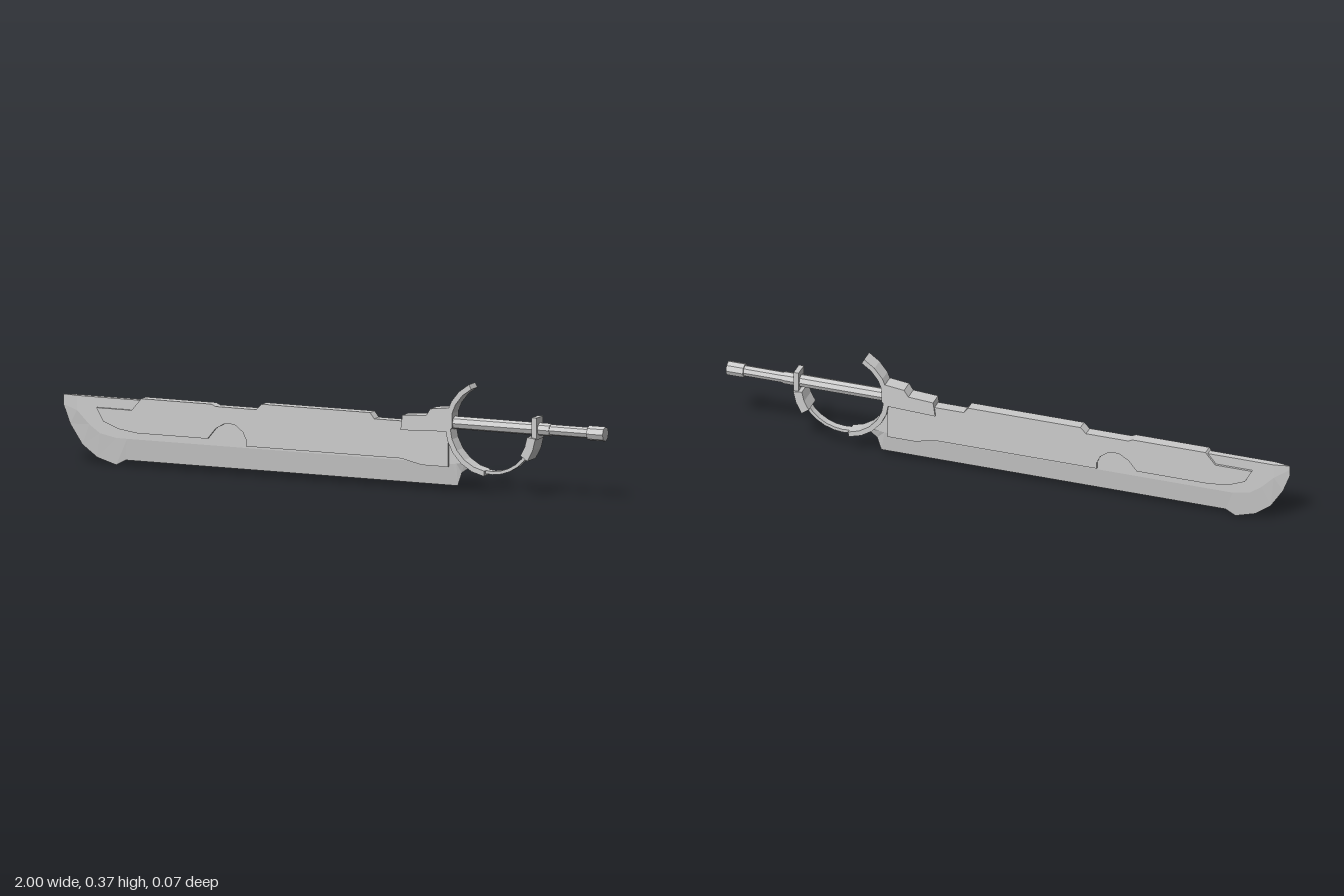
import * as THREE from 'three';

const material = new THREE.MeshStandardMaterial({ color: 0xcccccc, flatShading: true });

function add(group, name, geometry) {
  const mesh = new THREE.Mesh(geometry, material);
  mesh.name = name;
  group.add(mesh);
  return mesh;
}

// Flat outline extruded evenly to both sides of z = 0
function slab(points, half) {
  const shape = new THREE.Shape(points.map(([x, y]) => new THREE.Vector2(x, y)));
  return new THREE.ExtrudeGeometry(shape, { depth: half * 2, bevelEnabled: false }).translate(0, 0, -half);
}

// Curved strip around the hand, angles in degrees
function band(from, to, inner, outer, half, steps) {
  const points = [];
  const at = (deg, r) => {
    const a = THREE.MathUtils.degToRad(deg);
    return [0.585 + r * Math.cos(a), 0.232 + r * Math.sin(a)];
  };
  for (let i = 0; i <= steps; i++) points.push(at(from + (to - from) * i / steps, outer));
  for (let i = steps; i >= 0; i--) points.push(at(from + (to - from) * i / steps, inner));
  return slab(points, half);
}

// Wedge blade: each section gives edge, shoulder and spine points plus half thickness
function bladeGeometry() {
  const sections = [
    [-1, 0.2, -1, 0.22, -1, 0.235, 0],
    [-0.975, 0.135, -0.945, 0.185, -0.945, 0.235, 0.011],
    [-0.93, 0.067, -0.9, 0.14, -0.9, 0.235, 0.011],
    [-0.875, 0.027, -0.86, 0.112, -0.86, 0.235, 0.011],
    [-0.805, 0.006, -0.8, 0.1, -0.8, 0.235, 0.011],
    [-0.77, 0.025, -0.76, 0.1, -0.76, 0.235, 0.011],
    [0.455, 0.025, 0.44, 0.1, 0.43, 0.235, 0.011],
    [0.47, 0.07, 0.455, 0.102, 0.435, 0.2, 0.011],
    [0.505, 0.095, 0.485, 0.108, 0.45, 0.135, 0.011],
  ];
  const positions = [], index = [];
  for (const [ex, ey, sx, sy, tx, ty, t] of sections) {
    positions.push(ex, ey, 0, sx, sy, t, tx, ty, t, tx, ty, -t, sx, sy, -t);
  }
  for (let s = 0; s < sections.length - 1; s++) {
    for (let k = 0; k < 5; k++) {
      const a = s * 5 + k, b = s * 5 + (k + 1) % 5;
      index.push(a, a + 5, b + 5, a, b + 5, b);
    }
  }
  const e = (sections.length - 1) * 5;
  for (let k = 1; k < 4; k++) index.push(e, e + k + 1, e + k);
  const geometry = new THREE.BufferGeometry();
  geometry.setAttribute('position', new THREE.Float32BufferAttribute(positions, 3));
  geometry.setIndex(index);
  const flat = geometry.toNonIndexed();
  flat.computeVertexNormals();
  return flat;
}

export function createModel() {
  const model = new THREE.Group();
  model.name = 'sword';

  // Blade with sharpened edge
  const blade = add(model, 'blade', bladeGeometry());
  blade.material = material.clone();
  blade.material.side = THREE.DoubleSide;

  // Raised spine panel with stepped back and round notch
  add(model, 'spinePanel', slab([
    [-0.87, 0.2], [-0.845, 0.155], [-0.79, 0.133], [-0.72, 0.123], [-0.46, 0.123],
    [-0.43, 0.16], [-0.395, 0.18], [-0.36, 0.178], [-0.33, 0.155], [-0.318, 0.13], [-0.318, 0.107],
    [0.255, 0.107], [0.33, 0.09], [0.427, 0.09], [0.427, 0.235],
    [0.155, 0.235], [0.14, 0.255], [-0.26, 0.255], [-0.28, 0.235],
    [-0.43, 0.235], [-0.445, 0.242], [-0.705, 0.242], [-0.74, 0.2],
  ], 0.019));

  // Stepped block joining blade and grip
  add(model, 'bolster', slab([
    [0.255, 0.205], [0.43, 0.212], [0.445, 0.225], [0.445, 0.293], [0.43, 0.293],
    [0.365, 0.285], [0.35, 0.262], [0.262, 0.256],
  ], 0.026));

  // Hand guard: wide crescent, narrow bow, heavy end
  add(model, 'guardCrescent', band(118, 262, 0.147, 0.165, 0.026, 9));
  add(model, 'knuckleBow', band(260, 330, 0.147, 0.158, 0.013, 6));
  add(model, 'bowEnd', band(325, 353, 0.142, 0.173, 0.035, 2));
  const post = add(model, 'bowPost', new THREE.BoxGeometry(0.018, 0.075, 0.054));
  post.position.set(0.749, 0.244, 0);

  // Eight-sided grip parts along x: name, start, end, radius
  for (const [name, from, to, radius] of [
    ['gripSleeve', 0.44, 0.8, 0.022],
    ['gripRod', 0.8, 0.95, 0.019],
    ['pommelCap', 0.94, 1, 0.025],
  ]) {
    const part = add(model, name, new THREE.CylinderGeometry(radius, radius, to - from, 8));
    part.rotation.z = -Math.PI / 2;
    part.position.set((from + to) / 2, 0.24, 0);
  }

  return model;
}
